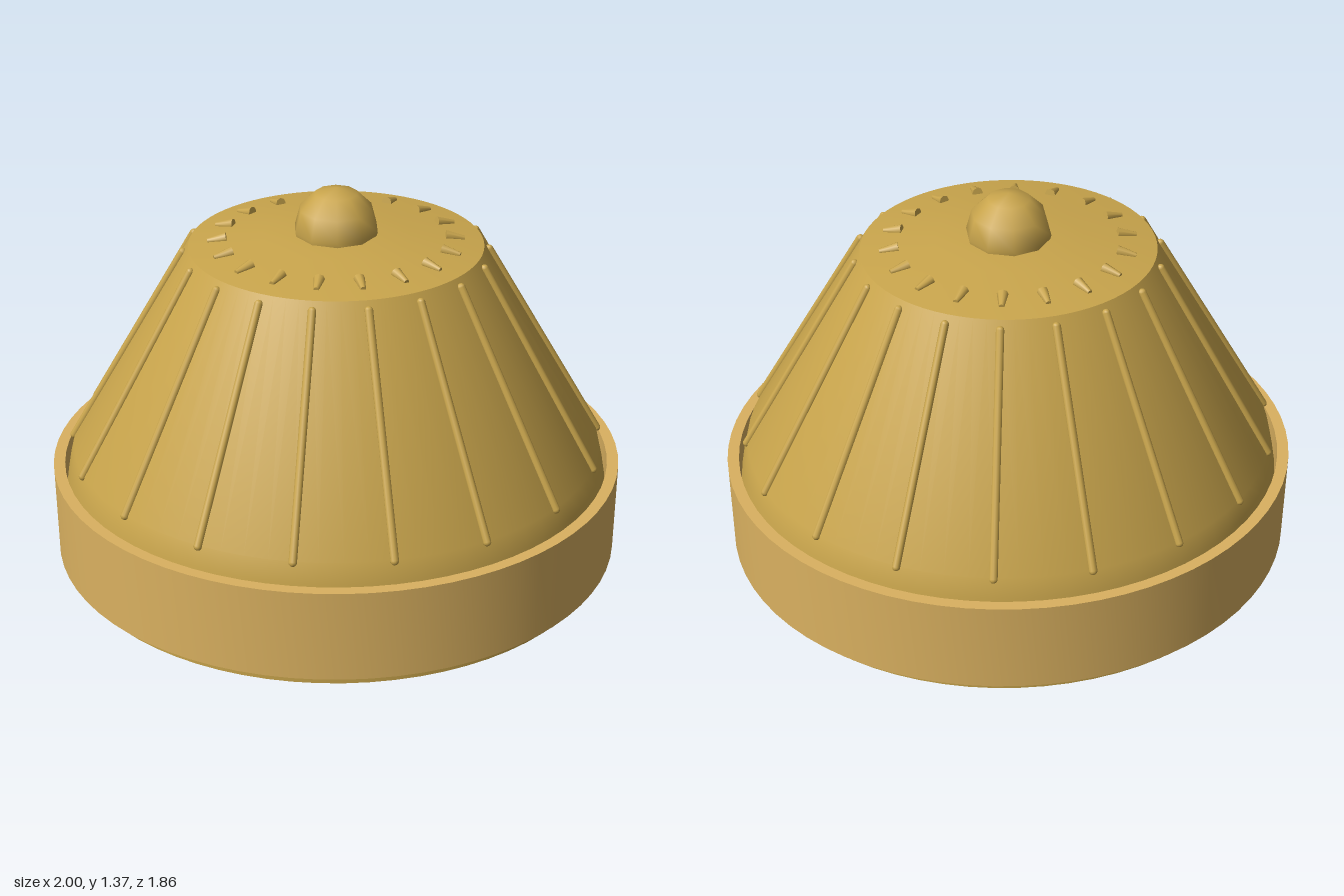
import * as THREE from 'three';
import { toCreasedNormals } from 'three/addons/utils/BufferGeometryUtils.js';

const crownMat = new THREE.MeshStandardMaterial({ color: 0xc9a54c, side: THREE.DoubleSide });
const bandMat = new THREE.MeshStandardMaterial({ color: 0xdab160, side: THREE.DoubleSide });

// Turned surface from [radius, height] pairs, with sharp edges kept
function turned(name, profile, material) {
  const points = profile.map(([r, y]) => new THREE.Vector2(r, y));
  const geometry = toCreasedNormals(new THREE.LatheGeometry(points, 72), 0.35);
  const mesh = new THREE.Mesh(geometry, material);
  mesh.name = name;
  return mesh;
}

// Round bar between two [radius, height] points, lying in the x-y plane
function bar(name, from, to, geometry) {
  const a = new THREE.Vector3(...from, 0);
  const b = new THREE.Vector3(...to, 0);
  const mesh = new THREE.Mesh(geometry, crownMat);
  mesh.name = name;
  mesh.position.addVectors(a, b).multiplyScalar(0.5);
  mesh.quaternion.setFromUnitVectors(new THREE.Vector3(0, 1, 0), b.sub(a).normalize());
  return mesh;
}

export function createModel() {
  const model = new THREE.Group();
  model.name = 'ribbedHat';

  // Body has an oval plan, a little shorter front to back
  const body = new THREE.Group();
  body.name = 'body';
  body.scale.z = 0.93;
  model.add(body);

  // Open-bottomed tapering crown with a shallow conical top
  body.add(turned('crown', [
    [0.963, 0], [0.966, 0.1], [0.965, 0.2], [0.955, 0.3], [0.942, 0.37], [0.925, 0.44],
    [0.5, 1.165], [0.25, 1.2], [0, 1.215],
  ], crownMat));

  // Brim band, a thick ring around the base
  body.add(turned('band', [
    [0.96, 0.04], [1, 0.04], [1, 0.37], [0.96, 0.37], [0.96, 0.04],
  ], bandMat));

  // Ribs down the side, each with a small tapered stud on the top
  const ribGeometry = new THREE.CapsuleGeometry(0.014, 0.81, 4, 10);
  const studGeometry = new THREE.CylinderGeometry(0.009, 0.019, 0.065, 8);
  const count = 18;
  for (let i = 0; i < count; i++) {
    const spoke = new THREE.Group();
    spoke.name = 'spoke' + (i + 1);
    spoke.rotation.y = (i / count) * Math.PI * 2;
    spoke.add(bar('rib', [0.929, 0.435], [0.517, 1.14], ribGeometry));
    spoke.add(bar('stud', [0.37, 1.187], [0.435, 1.176], studGeometry));
    body.add(spoke);
  }

  // Knob at the peak
  const knob = new THREE.Mesh(new THREE.SphereGeometry(0.145, 10, 6), crownMat);
  knob.name = 'knob';
  knob.position.y = 1.22;
  knob.rotation.y = Math.PI / 2;
  model.add(knob);

  return model;
}
